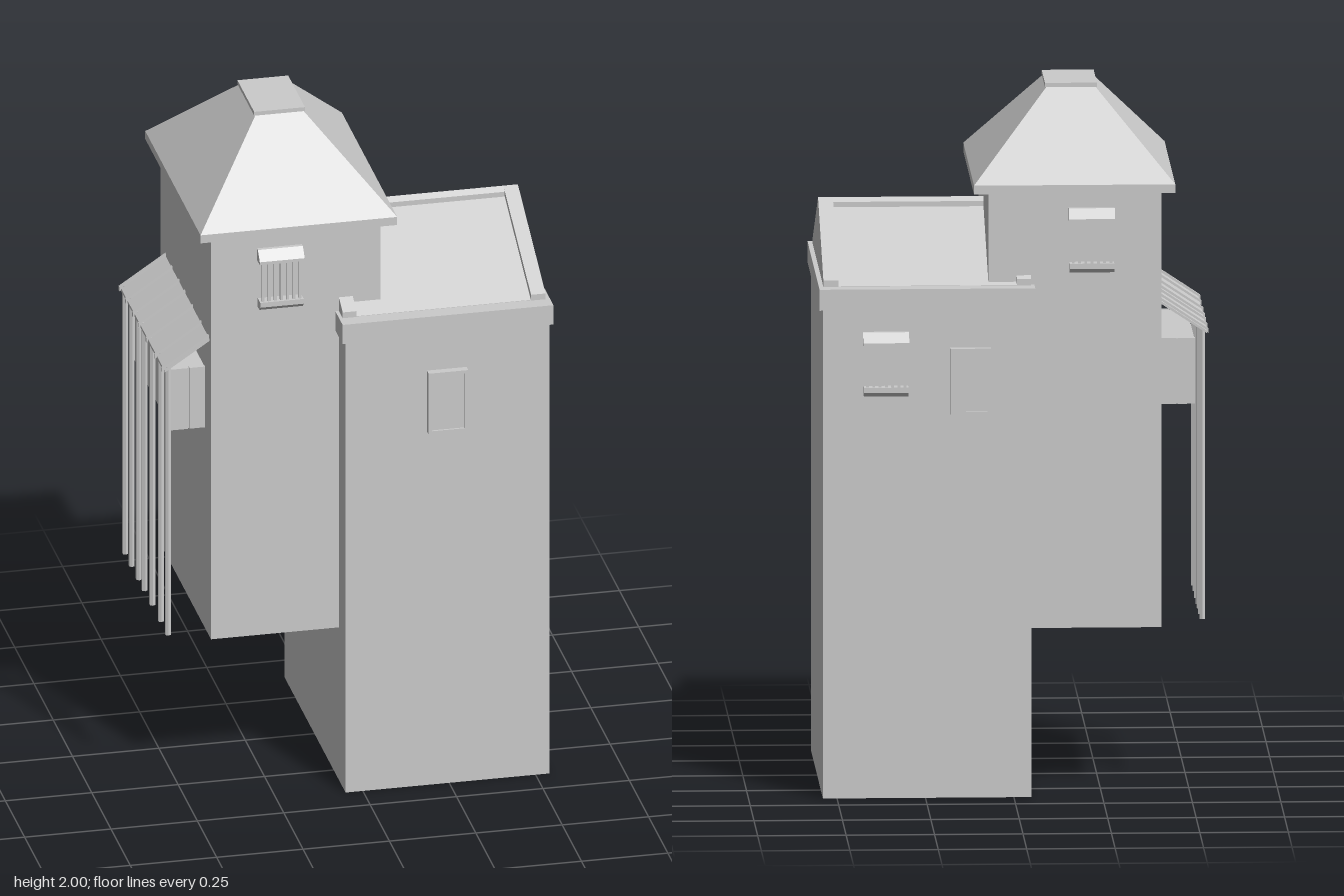
import * as THREE from 'three';

const mat = new THREE.MeshStandardMaterial({ color: 0xcccccc, flatShading: true, side: THREE.DoubleSide });

function add(parent, name, geo) {
  const m = new THREE.Mesh(geo, mat);
  m.name = name;
  parent.add(m);
  return m;
}

// Box given by its lower and upper limits on each axis
function boxGeo(x0, x1, y0, y1, z0, z1) {
  return new THREE.BoxGeometry(x1 - x0, y1 - y0, z1 - z0)
    .translate((x0 + x1) / 2, (y0 + y1) / 2, (z0 + z1) / 2);
}
const box = (parent, name, ...lim) => add(parent, name, boxGeo(...lim));

// Box without its floor
function openBox(parent, name, ...lim) {
  const g = boxGeo(...lim);
  const idx = Array.from(g.index.array);
  idx.splice(18, 6);
  g.setIndex(idx);
  g.clearGroups();
  return add(parent, name, g);
}

// Outline of [z, y] points (holes optional) extruded along x from x0 to x1
function profileX(parent, name, pts, x0, x1) {
  const shape = new THREE.Shape(pts.map(([z, y]) => new THREE.Vector2(-z, y)));
  const g = new THREE.ExtrudeGeometry(shape, { depth: x1 - x0, bevelEnabled: false });
  g.rotateY(Math.PI / 2).translate(x0, 0, 0);
  return add(parent, name, g);
}

// Barred window facing +z, its base centre on the wall at the origin
function barredWindow(name) {
  const g = new THREE.Group();
  g.name = name;
  profileX(g, 'windowSill', [[0, 0], [0.022, 0], [0.034, 0.012], [0.034, 0.027], [0, 0.027]], -0.063, 0.063);
  profileX(g, 'windowHood', [[0, 0.146], [0.037, 0.146], [0.037, 0.155], [0.012, 0.182], [0, 0.182]], -0.065, 0.065);
  for (let i = 0; i < 7; i++) {
    const x = -0.053 + i * 0.1063 / 6;
    box(g, 'windowBar', x - 0.004, x + 0.004, 0.027, 0.146, 0.02, 0.028);
  }
  return g;
}

// Framed shutter facing +z, base centre on the wall at the origin
function shutter(name) {
  const g = new THREE.Group();
  g.name = name;
  const w = 0.0575, h = 0.19, b = 0.01;
  const s = new THREE.Shape([[-w, 0], [w, 0], [w, h], [-w, h]].map(p => new THREE.Vector2(...p)));
  s.holes.push(new THREE.Path([[b - w, b], [b - w, h - b], [w - b, h - b], [w - b, b]].map(p => new THREE.Vector2(...p))));
  add(g, 'shutterFrame', new THREE.ExtrudeGeometry(s, { depth: 0.022, bevelEnabled: false }));
  box(g, 'shutterPanel', b - w, w - b, b, h - b, 0, 0.016);
  return g;
}

function place(parent, obj, x, y, z, turn = 0) {
  obj.position.set(x, y, z);
  obj.rotation.y = turn;
  parent.add(obj);
}

export function createModel() {
  const model = new THREE.Group();
  model.name = 'towerHouse';

  // Main block with cornice
  const block = new THREE.Group();
  block.name = 'mainBlock';
  model.add(block);
  openBox(block, 'blockWalls', -0.05, 0.54, 0, 1.41, -0.39, 0.405);
  box(block, 'cornice', -0.06, 0.55, 1.40, 1.46, -0.40, 0.412);

  // Gabled roof with raised end rims and a ridge cap
  const zc = 0.008, half = 0.36;
  const gable = (lift, w) => [[zc - w, 1.46], [zc + w, 1.46], [zc + w, 1.46 + lift], [zc, 1.637 + lift], [zc - w, 1.46 + lift]];
  profileX(block, 'gableRoof', gable(0.001, half - 0.003), -0.045, 0.53);
  for (const [x0, x1] of [[-0.05, -0.01], [0.495, 0.537]])
    profileX(block, 'gableRim', gable(0.018, half), x0, x1);
  profileX(block, 'ridgeCap', [[zc - 0.018, 1.625], [zc + 0.018, 1.625], [zc + 0.018, 1.644], [zc, 1.655], [zc - 0.018, 1.644]], -0.045, 0.535);

  // Tower raised clear of the ground
  const tower = new THREE.Group();
  tower.name = 'tower';
  model.add(tower);
  openBox(tower, 'towerWalls', -0.42, 0.07, 0.475, 1.735, -0.335, 0.318);
  box(tower, 'eaves', -0.457, 0.112, 1.725, 1.75, -0.37, 0.348);

  // Hipped roof: a box whose top is drawn in
  const hip = boxGeo(-0.457, 0.112, 1.75, 1.99, -0.37, 0.348);
  const p = hip.attributes.position;
  for (let i = 0; i < p.count; i++) {
    if (p.getY(i) < 1.9) continue;
    p.setX(i, p.getX(i) < -0.2 ? -0.24 : -0.105);
    p.setZ(i, p.getZ(i) < 0 ? -0.115 : 0.093);
  }
  hip.computeVertexNormals();
  add(tower, 'hippedRoof', hip);
  box(tower, 'roofCap', -0.246, -0.099, 1.988, 2.0, -0.12, 0.098);

  // Windows and shutters
  place(model, barredWindow('towerFrontWindow'), -0.222, 1.497, 0.318);
  place(model, barredWindow('towerBackWindow'), -0.222, 1.497, -0.335, Math.PI);
  place(model, barredWindow('blockBackWindow'), 0.362, 1.155, -0.39, Math.PI);
  place(model, shutter('frontShutter'), 0.243, 1.10, 0.405);
  place(model, shutter('backShutter'), 0.123, 1.10, -0.39, Math.PI);

  // Side bay on the tower, with panelled ends
  const gallery = new THREE.Group();
  gallery.name = 'sideGallery';
  model.add(gallery);
  box(gallery, 'bay', -0.516, -0.42, 1.10, 1.287, -0.245, 0.235);
  for (const z of [-0.245, 0.235])
    for (const [x0, x1] of [[-0.518, -0.469], [-0.465, -0.42]])
      box(gallery, 'bayEndPanel', x0, x1, 1.10, 1.289, z - 0.005, z + 0.005);

  // Lean-to awning on rafters and tall poles
  const slope = (x0, y0, x1, y1, t, z0, z1, name) => {
    const s = new THREE.Shape([[x0, y0], [x1, y1], [x1, y1 + t], [x0, y0 + t]].map(q => new THREE.Vector2(...q)));
    add(gallery, name, new THREE.ExtrudeGeometry(s, { depth: z1 - z0, bevelEnabled: false }).translate(0, 0, z0));
  };
  slope(-0.55, 1.308, -0.415, 1.397, 0.008, -0.288, 0.296, 'awning');
  for (const z of [-0.272, -0.187, -0.095, -0.02, 0.08, 0.192, 0.285]) {
    slope(-0.555, 1.307, -0.415, 1.4, 0.013, z - 0.005, z + 0.005, 'rafter');
    add(gallery, 'pole', new THREE.CylinderGeometry(0.009, 0.009, 0.835, 6).translate(-0.537, 0.905, z));
  }
  return model;
}
